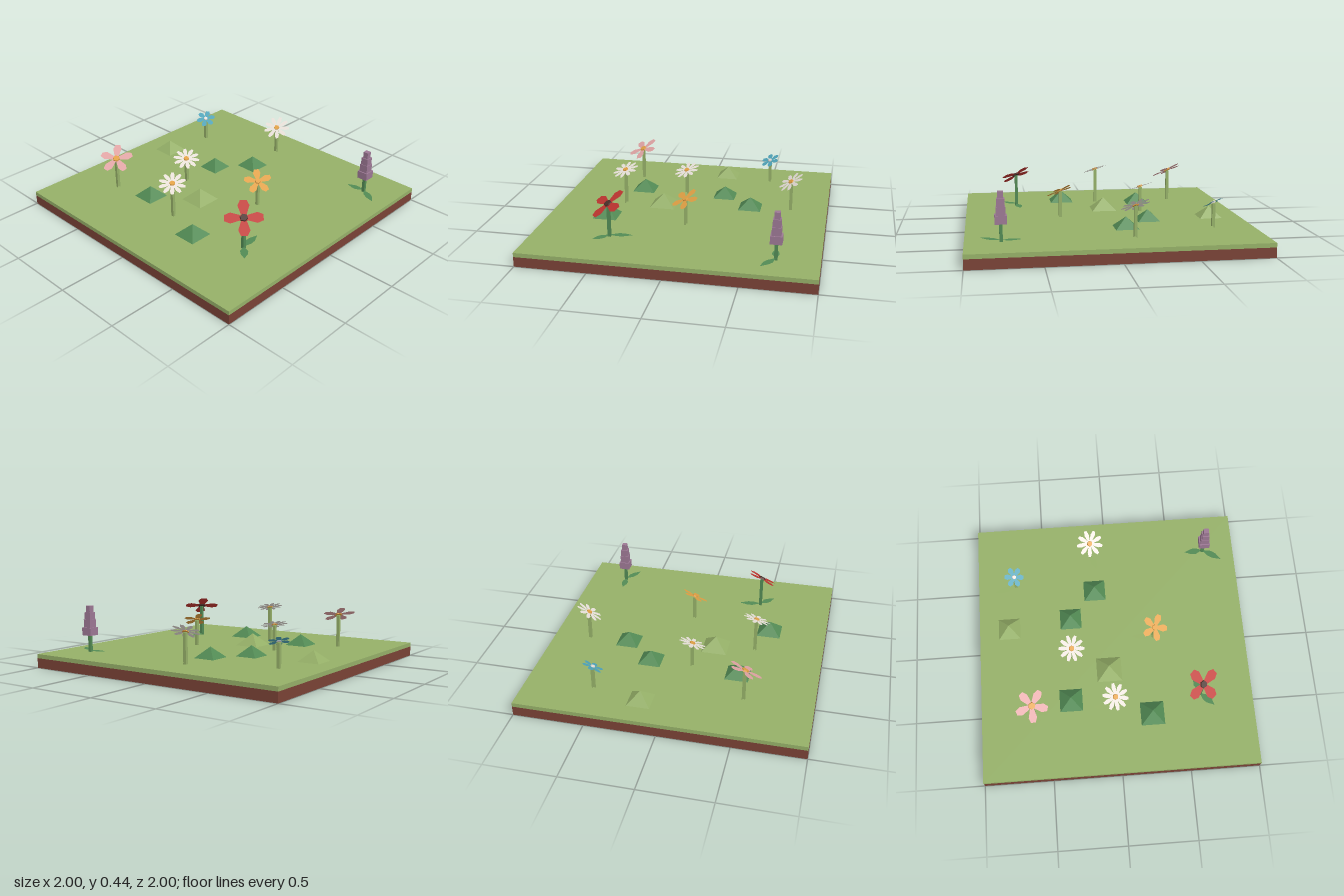
import * as THREE from 'three';

const mat = (name, color, side = THREE.FrontSide) => {
  const m = new THREE.MeshStandardMaterial({ color, side });
  m.name = name;
  return m;
};

export function createModel() {
  const D = THREE.DoubleSide;
  const grass = mat('grass green', 0x95b068, D);
  const deepGreen = mat('deep green', 0x528a54, D);
  const soil = mat('soil brown', 0x7a4236, D);
  const white = mat('petal white', 0xebe3dc, D);
  const pink = mat('petal pink', 0xdfa3a3, D);
  const blue = mat('petal blue', 0x4fa3b8, D);
  const orange = mat('orange', 0xe0a044, D);
  const red = mat('petal red', 0xbf3530, D);
  const purple = mat('lavender purple', 0x9c7894);
  const dark = mat('dark centre', 0x4a2f28);

  const model = new THREE.Group();
  const GROUND = 0.1;

  const add = (parent, name, geometry, material, x = 0, y = 0, z = 0) => {
    const mesh = new THREE.Mesh(geometry, material);
    mesh.name = name;
    mesh.position.set(x, y, z);
    parent.add(mesh);
    return mesh;
  };

  // Slab without its bottom face, so the underside is hollow
  const openSlab = (height) => {
    const g = new THREE.BoxGeometry(2, height, 2);
    const index = Array.from(g.index.array);
    index.splice(18, 6);
    g.setIndex(index);
    g.clearGroups();
    return g;
  };
  add(model, 'soil', openSlab(0.07), soil, 0, 0.035, 0);
  add(model, 'lawn', openSlab(0.03), grass, 0, 0.085, 0);

  // Pyramid bushes: x, z, width, material
  const bushes = [
    [-0.11, -0.43, 0.163, deepGreen],
    [-0.307, -0.208, 0.16, deepGreen],
    [-0.34, 0.435, 0.168, deepGreen],
    [0.25, 0.577, 0.173, deepGreen],
    [-0.775, -0.16, 0.163, grass],
    [-0.043, 0.217, 0.185, grass],
  ];
  for (const [x, z, w, m] of bushes) {
    const h = w * 0.48;
    const g = new THREE.ConeGeometry(w / Math.SQRT2, h, 4, 1, true).rotateY(Math.PI / 4).toNonIndexed();
    g.computeVertexNormals();
    add(model, 'bush', g, m, x, GROUND + h / 2, z);
  }

  // Flat pointed leaf running along +x
  const leafGeometry = (length, width) => {
    const s = new THREE.Shape();
    s.moveTo(0, 0);
    s.lineTo(length * 0.4, width / 2);
    s.lineTo(length * 0.65, width * 0.42);
    s.lineTo(length, 0);
    s.lineTo(length * 0.6, -width * 0.4);
    s.lineTo(length * 0.35, -width * 0.4);
    return new THREE.ShapeGeometry(s).rotateX(-Math.PI / 2);
  };

  // Stem with ground leaves that reach to the given tips
  const plant = (name, x, z, top, material, tips, leafWidth) => {
    const group = new THREE.Group();
    group.name = name;
    group.position.set(x, 0, z);
    model.add(group);
    add(group, 'stem', new THREE.BoxGeometry(0.022, top - GROUND, 0.022), material, 0, (top + GROUND) / 2, 0);
    for (const [tx, tz] of tips) {
      const dx = tx - x, dz = tz - z;
      const leaf = add(group, 'leaf', leafGeometry(Math.hypot(dx, dz), leafWidth), material, 0, GROUND + 0.011, 0);
      leaf.rotation.y = Math.atan2(-dz, dx);
    }
    return group;
  };

  // Blunt petal: narrow root, broad near the end
  const petalGeometry = (r, w) => {
    const s = new THREE.Shape();
    s.moveTo(r * 0.1, -w * 0.2);
    s.lineTo(r * 0.7, -w * 0.5);
    s.lineTo(r, -w * 0.28);
    s.lineTo(r, w * 0.28);
    s.lineTo(r * 0.7, w * 0.5);
    s.lineTo(r * 0.1, w * 0.2);
    return new THREE.ShapeGeometry(s).rotateX(-Math.PI / 2);
  };

  const flowers = [
    { name: 'backDaisy', at: [-0.122, -0.73], y: 0.315, lean: [0.25, 0.6], n: 9, r: 0.1, w: 0.034, phase: 10,
      petal: white, eye: orange, tips: [[-0.06, -0.89], [-0.08, -0.61]] },
    { name: 'middleDaisy', at: [-0.31, 0.095], y: 0.285, lean: [0.3, 0.28], n: 10, r: 0.097, w: 0.032, phase: 0,
      petal: white, eye: orange, tips: [[-0.435, 0.15], [-0.15, 0.13]] },
    { name: 'frontDaisy', at: [-0.02, 0.505], y: 0.36, lean: [0.3, 0.28], n: 10, r: 0.097, w: 0.032, phase: 8,
      petal: white, eye: orange, tips: [[-0.18, 0.5], [0.1, 0.44]] },
    { name: 'pinkFlower', at: [-0.615, 0.52], y: 0.337, lean: [0.38, 0.42], n: 5, r: 0.12, w: 0.062, phase: 12,
      petal: pink, eye: orange, tips: [[-0.75, 0.535], [-0.47, 0.605]] },
    { name: 'blueFlower', at: [-0.712, -0.512], y: 0.272, lean: [0.4, 0.42], n: 6, r: 0.075, w: 0.042, phase: 0,
      petal: blue, eye: white, tips: [[-0.63, -0.62], [-0.87, -0.465]] },
    { name: 'orangeFlower', at: [0.31, -0.022], y: 0.29, lean: [0.4, 0.42], n: 5, r: 0.1, w: 0.054, phase: 4,
      petal: orange, eye: orange, tips: [[0.145, -0.03], [0.43, -0.1]] },
    { name: 'redFlower', at: [0.612, 0.453], y: 0.337, lean: [0.42, 0.46], n: 4, r: 0.13, w: 0.08, phase: 45,
      petal: red, eye: dark, leaf: deepGreen, tips: [[0.59, 0.29], [0.71, 0.55]] },
  ];

  const up = new THREE.Vector3(0, 1, 0);
  for (const f of flowers) {
    const group = plant(f.name, ...f.at, f.y, f.leaf || grass, f.tips, f.leaf ? 0.06 : 0.05);
    // Tilted bloom
    const bloom = new THREE.Group();
    bloom.name = 'bloom';
    bloom.position.y = f.y;
    bloom.quaternion.setFromUnitVectors(up, new THREE.Vector3(f.lean[0], 1, f.lean[1]).normalize());
    group.add(bloom);
    const petal = petalGeometry(f.r, f.w);
    for (let i = 0; i < f.n; i++) {
      const p = add(bloom, 'petal', petal, f.petal, 0, 0.006 + (i % 2) * 0.001, 0);
      p.rotation.y = -THREE.MathUtils.degToRad(f.phase + (360 * i) / f.n);
    }
    const eye = new THREE.CylinderGeometry(f.r * 0.2, f.r * 0.24, 0.014, 6).toNonIndexed();
    eye.computeVertexNormals();
    add(bloom, 'flowerCentre', eye, f.eye, 0, 0.008, 0);
  }

  // Lavender spike of shrinking blocks
  const spike = plant('lavender', 0.76, -0.71, 0.24, deepGreen, [[0.62, -0.7], [0.9, -0.62]], 0.055);
  const blocks = [[0.08, 0.222, 0.278], [0.062, 0.278, 0.335], [0.054, 0.335, 0.388], [0.038, 0.388, 0.435]];
  for (const [w, y0, y1] of blocks) {
    add(spike, 'blossomBlock', new THREE.BoxGeometry(w, y1 - y0, w), purple, 0, (y0 + y1) / 2, 0);
  }

  return model;
}
